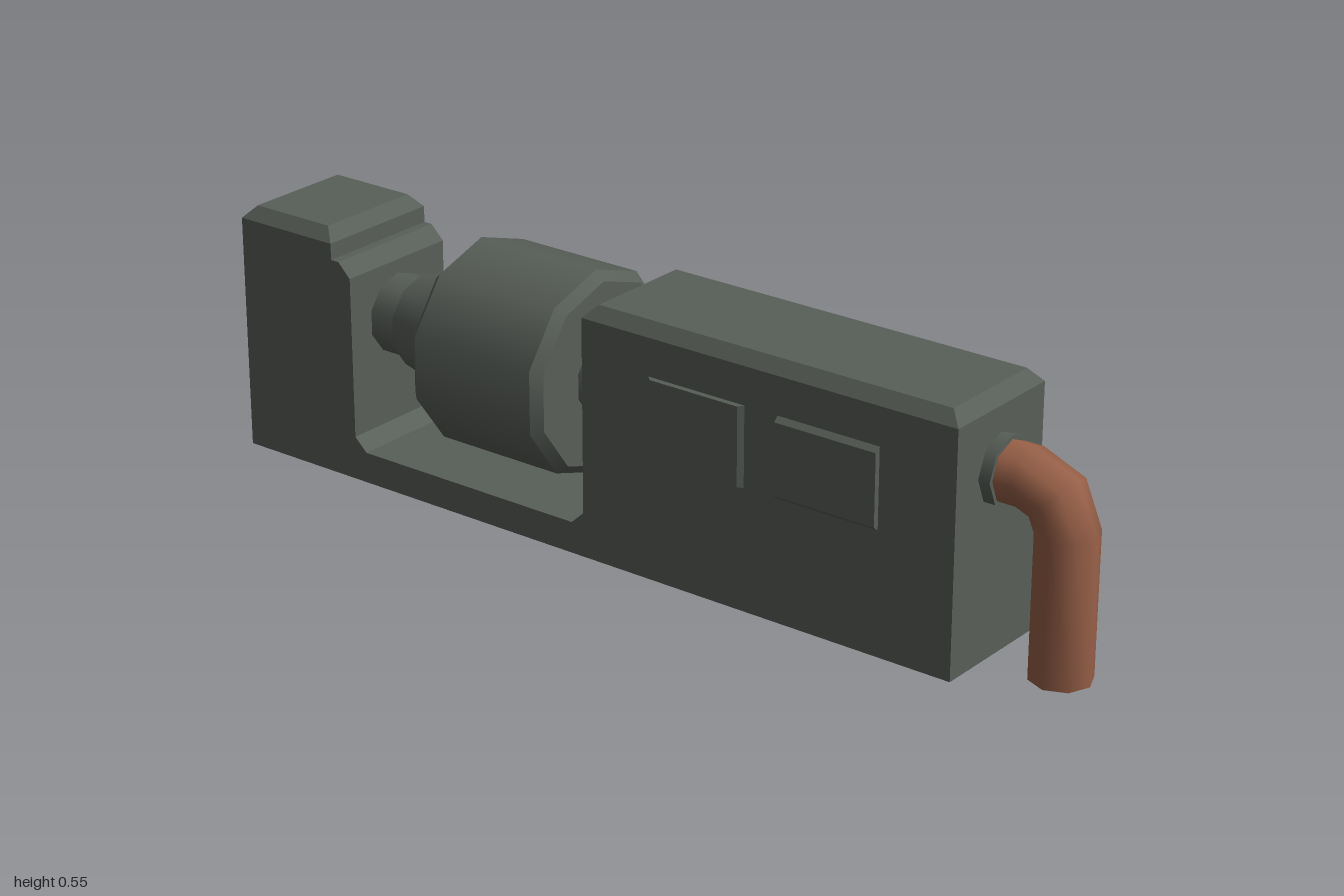
import * as THREE from 'three';

export function createModel() {
  const model = new THREE.Group();
  const grey = new THREE.MeshStandardMaterial({ color: 0x585e58, side: THREE.DoubleSide });
  grey.name = 'grey metal';
  const copper = new THREE.MeshStandardMaterial({ color: 0x965f47, side: THREE.DoubleSide });
  copper.name = 'copper pipe';

  const add = (geometry, name, material = grey, parent = model) => {
    const mesh = new THREE.Mesh(geometry, material);
    mesh.name = name;
    parent.add(mesh);
    return mesh;
  };

  // Flat-shaded geometry from a list of four-cornered faces
  const quads = (faces) => {
    const g = new THREE.BufferGeometry();
    const p = faces.flatMap(([a, b, c, d]) => [a, b, c, a, c, d]).flat();
    g.setAttribute('position', new THREE.Float32BufferAttribute(p, 3));
    g.computeVertexNormals();
    return g;
  };
  // Four walls joining two corner loops, plus an optional lid on the second
  const frustum = (a, b) => quads([...a.map((p, i) => {
    const j = (i + 1) % 4;
    return [p, a[j], b[j], b[i]];
  }), b]);

  // Housing: open-bottomed shell with two blocks joined by a low trough
  const W = 0.143, EAVE = 0.51, TOP = 0.537;
  const body = new THREE.Group();
  body.name = 'housing';
  model.add(body);
  const profile = [
    [-1, 0], [-1, EAVE], [-0.75, EAVE], [-0.75, 0.475], [-0.73, 0.475], [-0.7, 0.445],
    [-0.7, 0.095], [-0.67, 0.067], [-0.12, 0.067], [-0.09, 0.095],
    [-0.09, EAVE], [0.785, EAVE], [0.785, 0],
  ];
  const side = new THREE.Shape(profile.map(([x, y]) => new THREE.Vector2(x, y)));
  add(new THREE.ShapeGeometry(side), 'frontWall', grey, body).position.z = W;
  const back = add(new THREE.ShapeGeometry(side).scale(-1, 1, 1), 'backWall', grey, body);
  back.geometry.dispose();
  back.geometry = new THREE.ShapeGeometry(new THREE.Shape(
    profile.map(([x, y]) => new THREE.Vector2(-x, y)))).rotateY(Math.PI);
  back.position.z = -W;

  // Walls across the width; the end wall and the two roofs are made separately
  const across = [];
  for (let i = 1; i < profile.length - 1; i++) {
    const [x0, y0] = profile[i], [x1, y1] = profile[i + 1];
    if (y0 === EAVE && y1 === EAVE) continue;
    across.push([[x0, y0, W], [x1, y1, W], [x1, y1, -W], [x0, y0, -W]]);
  }
  add(quads(across), 'crossWalls', grey, body);

  // Chamfered roofs
  const loop = (x0, x1, y, z) => [[x0, y, z], [x1, y, z], [x1, y, -z], [x0, y, -z]];
  for (const [name, x0, x1] of [['smallRoof', -1, -0.75], ['largeRoof', -0.09, 0.785]]) {
    add(frustum(loop(x0, x1, EAVE, W), loop(x0 + 0.026, x1 - 0.026, TOP, W - 0.022)),
      name, grey, body);
  }

  // End wall with a small recessed socket
  const rect = (C, z0, z1, y0, y1) => new C([[z0, y0], [z1, y0], [z1, y1], [z0, y1]]
    .map(([z, y]) => new THREE.Vector2(z, y)));
  const end = rect(THREE.Shape, -W, W, 0, EAVE);
  end.holes.push(rect(THREE.Path, 0.01, 0.115, 0.015, 0.16));
  add(new THREE.ShapeGeometry(end).rotateY(-Math.PI / 2).translate(-1, 0, 0), 'endWall', grey, body);
  const socket = (x, s) => [[x, 0.015 + s, 0.01 + s], [x, 0.015 + s, 0.115 - s],
    [x, 0.16 - s, 0.115 - s], [x, 0.16 - s, 0.01 + s]];
  add(frustum(socket(-1, 0), socket(-0.985, 0.012)), 'endSocket', grey, body);

  // Raised front panels, bevelled at the sides or at top and bottom
  const panel = (x0, x1, z, bx, by) => [[x0 + bx, 0.26 + by, z], [x1 - bx, 0.26 + by, z],
    [x1 - bx, 0.43 - by, z], [x0 + bx, 0.43 - by, z]];
  add(frustum(panel(0.075, 0.305, W, 0, 0), panel(0.075, 0.305, 0.152, 0.01, 0.002)), 'innerPanel');
  add(frustum(panel(0.382, 0.615, W, 0, 0), panel(0.382, 0.615, 0.154, 0.001, 0.01)), 'outerPanel');

  // Ten-sided turned parts along x
  const turned = (name, x0, x1, r0, r1, y = 0.33, sides = 10) => {
    const g = new THREE.CylinderGeometry(r1, r0, x1 - x0, sides, 1, false, Math.PI / 2);
    g.rotateZ(-Math.PI / 2).translate((x0 + x1) / 2, y, 0);
    add(g, name);
  };
  turned('shaft', -0.7, -0.6, 0.086, 0.086);
  turned('drumCone', -0.63, -0.487, 0.1, 0.131);
  turned('drumLeftChamfer', -0.487, -0.467, 0.198, 0.218);
  turned('drum', -0.467, -0.17, 0.218, 0.218);
  turned('drumRightChamfer', -0.17, -0.15, 0.218, 0.198);
  turned('outputShaft', -0.15, -0.09, 0.086, 0.086);
  turned('pipeCollar', 0.785, 0.81, 0.072, 0.072, 0.385, 8);

  // Eight-sided pipe: rings at [x, y, turn] swept along a two-step elbow
  const R = 0.0635, N = 8;
  const rings = [[0.785, 0.385, 0], [0.85, 0.385, 0], [0.911, 0.36, Math.PI / 4],
    [0.9365, 0.299, Math.PI / 2], [0.9365, 0, Math.PI / 2]];
  const pos = [], index = [];
  rings.forEach(([x, y, t], k) => {
    for (let i = 0; i < N; i++) {
      const a = (i / N) * Math.PI * 2, u = R * Math.cos(a);
      pos.push(x + u * Math.sin(t), y + u * Math.cos(t), R * Math.sin(a));
      if (k === 0) continue;
      const j = (i + 1) % N, p = (k - 1) * N, q = k * N;
      index.push(p + i, p + j, q + i, p + j, q + j, q + i);
    }
  });
  const pipe = new THREE.BufferGeometry();
  pipe.setAttribute('position', new THREE.Float32BufferAttribute(pos, 3));
  pipe.setIndex(index);
  pipe.computeVertexNormals();
  add(pipe, 'pipe', copper);

  return model;
}
